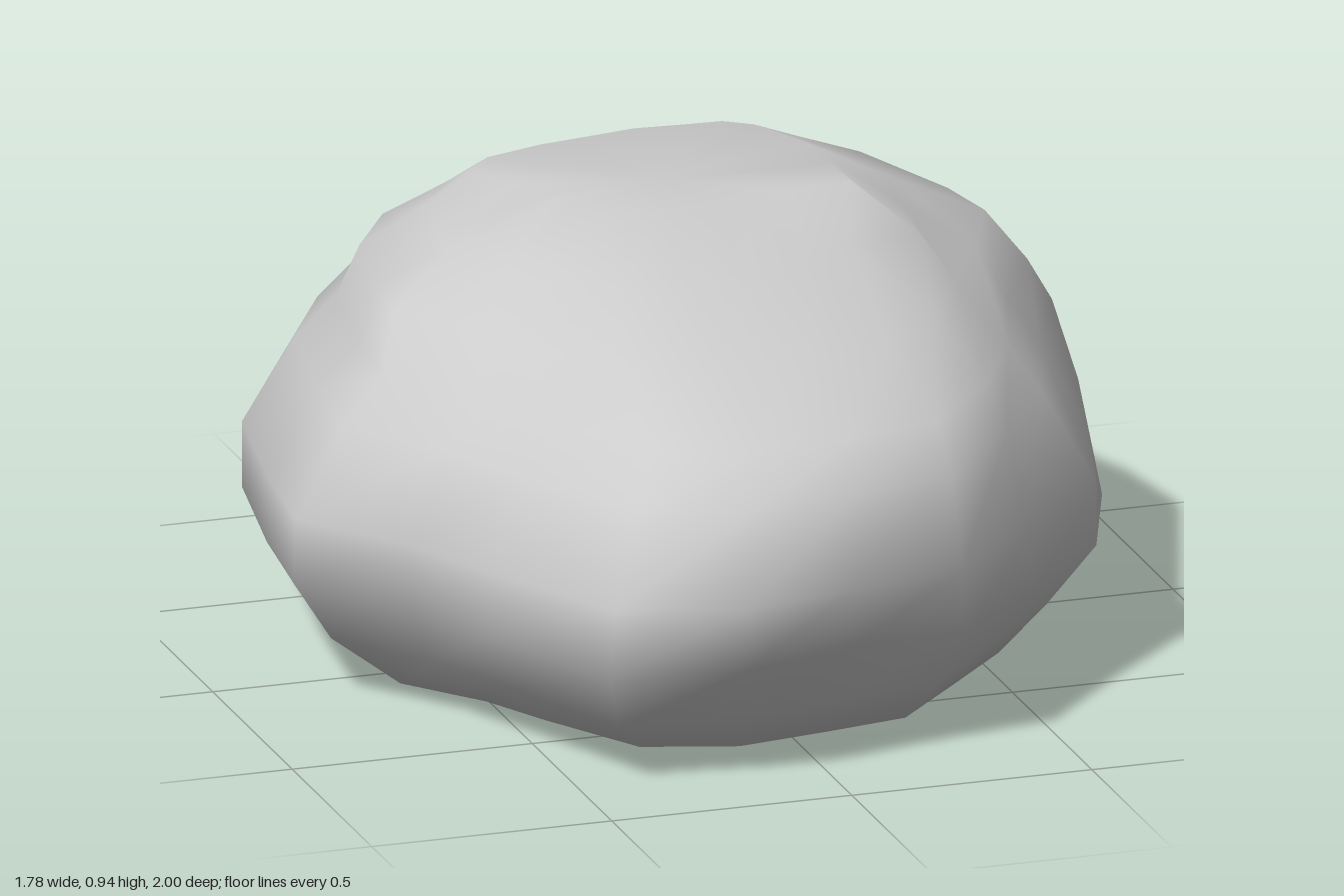
import * as THREE from 'three';

// Plan outline of the boulder at its widest, from the back round by the left side (x, z)
const outline = [
  [0.1, -1], [0.35, -0.97], [0.58, -0.95], [0.72, -0.8], [0.85, -0.4], [0.89, -0.17], [0.82, 0.15],
  [0.69, 0.45], [0.5, 0.67], [0.29, 0.91], [0.05, 0.96], [-0.2, 1], [-0.45, 0.91], [-0.62, 0.61],
  [-0.72, 0.4], [-0.89, 0.17], [-0.86, -0.1], [-0.8, -0.45], [-0.66, -0.7], [-0.44, -0.86], [-0.17, -0.93],
];

// Extent of each level: y, xMin, xMax, zMin, zMax
const levels = [
  [0.015, -0.35, 0.35, -0.4, 0.38],
  [0.02, -0.65, 0.68, -0.69, 0.70],
  [0.125, -0.79, 0.79, -0.92, 0.84],
  [0.25, -0.87, 0.89, -1.0, 0.91],
  [0.41, -0.89, 0.85, -0.95, 1.0],
  [0.58, -0.78, 0.8, -0.89, 0.90],
  [0.67, -0.69, 0.75, -0.83, 0.82],
  [0.77, -0.64, 0.67, -0.73, 0.6],
  [0.85, -0.49, 0.48, -0.59, 0.32],
  [0.925, -0.35, 0.32, -0.44, 0.07],
];

// Local bumps and dents: centre, radius, shift
const bumps = [
  { at: [0.66, 0.68, 0.22], r: 0.22, by: [-0.08, 0, -0.05] }, // flattened front left shoulder
  { at: [0.62, 0.35, 0.48], r: 0.18, by: [0.04, 0, 0.02] }, // full flank below it
  { at: [0.55, 0.48, -0.88], r: 0.2, by: [0.03, 0, -0.05] }, // full back left corner
  { at: [-0.45, 0.22, 0.8], r: 0.18, by: [-0.03, 0, 0.06] }, // full front right corner
  { at: [-0.4, 0.02, -0.55], r: 0.18, by: [-0.05, 0, -0.09] }, // back right foot
  { at: [0.25, 0.925, -0.07], r: 0.09, by: [0.07, 0.015, 0.12] }, // peak of the crown
  { at: [0.37, 0.85, 0.06], r: 0.1, by: [0.06, 0, 0.07] }, // ridge below the peak
  { at: [-0.27, 0.925, -0.31], r: 0.07, by: [-0.08, 0, 0] }, // back right corner of the crown
  { at: [-0.35, 0.925, -0.14], r: 0.07, by: [0.1, 0, 0.03] }, // hollow beside it
  { at: [0.08, 0.25, 0.9], r: 0.17, by: [0, 0, -0.05] }, // dent low on the front
  { at: [-0.07, 0.015, -0.37], r: 0.1, by: [-0.07, -0.015, -0.09] }, // foot under the back
];

function shape(x, y, z) {
  const start = new THREE.Vector3(x, y, z), point = start.clone();
  for (const { at, r, by } of bumps) {
    const d = start.distanceTo(new THREE.Vector3(...at)) / r;
    point.addScaledVector(new THREE.Vector3(...by), Math.exp(-d * d));
  }
  return point.toArray();
}

function boulderGeometry() {
  const n = outline.length, pos = [], index = [];
  // Fit the outline to the extent of every level
  for (const [y, x0, x1, z0, z1] of levels) {
    for (const [x, z] of outline) {
      const px = THREE.MathUtils.mapLinear(x, -0.89, 0.89, x0, x1);
      const pz = THREE.MathUtils.mapLinear(z, -1, 1, z0, z1);
      pos.push(...shape(px, y, pz));
    }
  }
  // Sides
  for (let i = 0; i < levels.length - 1; i++) {
    for (let j = 0; j < n; j++) {
      const k = (j + 1) % n;
      const a = i * n + j, b = i * n + k, c = a + n, d = b + n;
      index.push(b, a, c, b, c, d);
    }
  }
  // Underside and slightly sunken crown
  const bottom = pos.length / 3, top = bottom + 1, last = (levels.length - 1) * n;
  pos.push(0, 0.015, 0, 0, 0.905, -0.18);
  for (let j = 0; j < n; j++) {
    const k = (j + 1) % n;
    index.push(bottom, j, k, top, last + k, last + j);
  }
  const geometry = new THREE.BufferGeometry();
  geometry.setAttribute('position', new THREE.Float32BufferAttribute(pos, 3));
  geometry.setIndex(index);
  geometry.computeVertexNormals();
  return geometry;
}

export function createModel() {
  const group = new THREE.Group();
  group.name = 'rock';
  const boulder = new THREE.Mesh(boulderGeometry(), new THREE.MeshStandardMaterial({ color: 0xcccccc }));
  boulder.name = 'boulder';
  group.add(boulder);
  return group;
}
